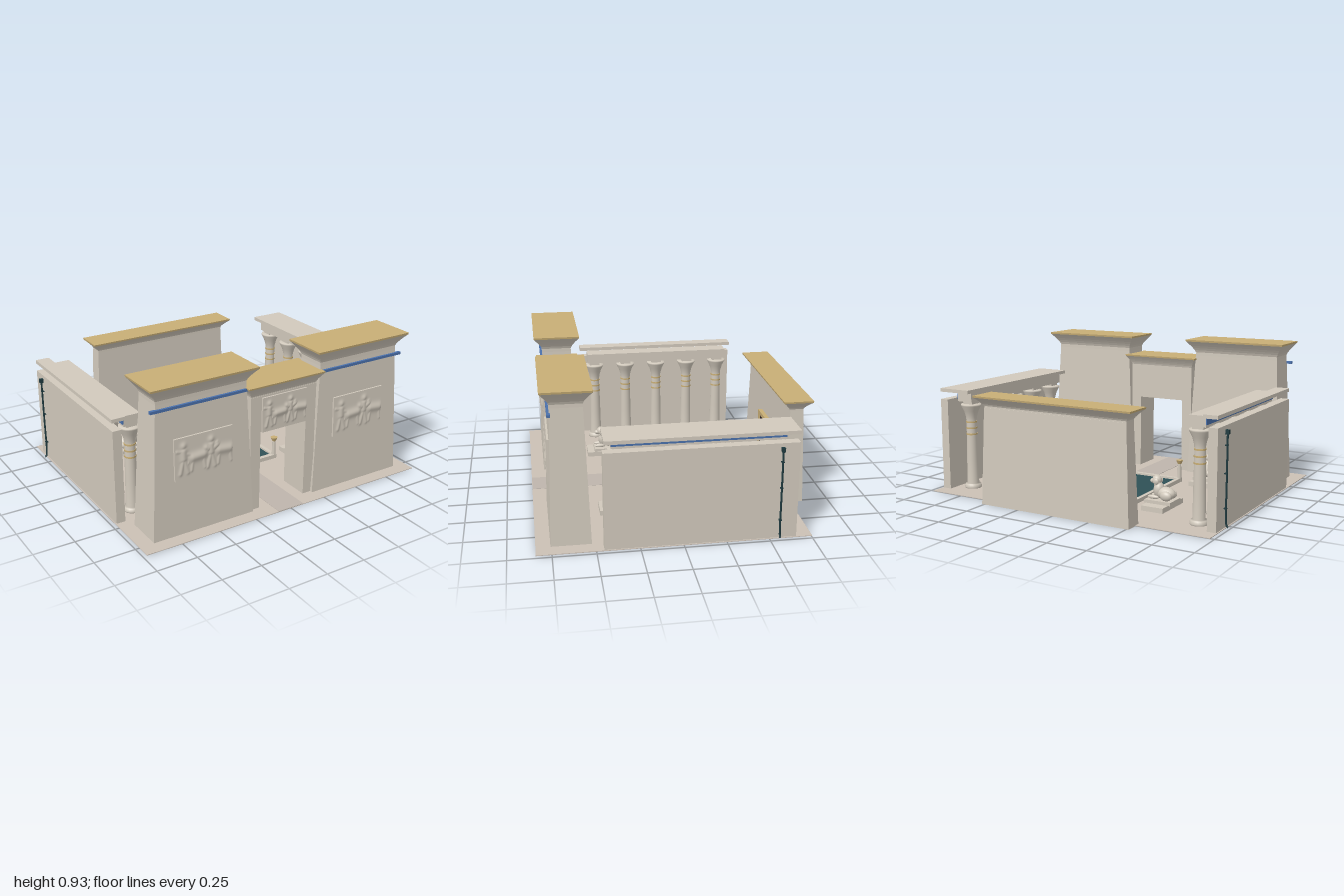
import * as THREE from 'three';

const mat = (name, color) => Object.assign(new THREE.MeshStandardMaterial({ color }), { name });
const stone = mat('stone', 0xd1c9bc);
const paving = mat('paving', 0xcbc0b5);
const gold = mat('gold', 0xc8ae76);
const blue = mat('blue', 0x4a70ab);
const water = mat('water', 0x2f5056);
const dark = mat('dark doorway', 0x2a2022);
const pipeMat = mat('drain pipe', 0x1f3a3f);
const pathLight = mat('light path', 0xd5cdc2);
const pathDark = mat('dark path', 0xbeb5ac);

function add(parent, name, geometry, material, x = 0, y = 0, z = 0) {
  const m = new THREE.Mesh(geometry, material);
  m.name = name;
  m.position.set(x, y, z);
  parent.add(m);
  return m;
}

// Box given by its limits on each axis
function block(parent, name, material, x0, x1, y0, y1, z0, z1) {
  return add(parent, name, new THREE.BoxGeometry(x1 - x0, y1 - y0, z1 - z0), material,
    (x0 + x1) / 2, (y0 + y1) / 2, (z0 + z1) / 2);
}

// Closed flat-sided solid through rectangles [y, halfWidth, halfDepth]
function loft(sections) {
  const pos = [];
  const ring = ([y, w, d]) => [[-w, y, d], [w, y, d], [w, y, -d], [-w, y, -d]];
  const quad = (a, b, c, d) => pos.push(...a, ...b, ...c, ...a, ...c, ...d);
  const rings = sections.map(ring);
  for (let i = 0; i < rings.length - 1; i++)
    for (let k = 0; k < 4; k++) {
      const n = (k + 1) % 4;
      quad(rings[i][k], rings[i][n], rings[i + 1][n], rings[i + 1][k]);
    }
  quad(...rings[0].slice().reverse());
  quad(...rings[rings.length - 1]);
  const g = new THREE.BufferGeometry();
  g.setAttribute('position', new THREE.Float32BufferAttribute(pos, 3));
  g.computeVertexNormals();
  return g;
}

// Hollow-curved cornice with a thin gilded cap
function cornice(parent, x, z, w, d, flare, y0, y1, cap) {
  const neck = y0 + (y1 - y0) * 0.22, s = [[y0, w, d], [neck, w, d]];
  for (let i = 1; i <= 5; i++) {
    const t = i / 5, f = flare * Math.pow(t, 1.3);
    s.push([neck + (y1 - neck) * t, w + f, d + f]);
  }
  add(parent, 'cornice', loft(s), stone, x, 0, z);
  add(parent, 'giltCap', loft([[y1, w + flare, d + flare], [y1 + cap, w + flare + 0.002, d + flare + 0.002]]), gold, x, 0, z);
}

// Raised figure panel: a grid pushed out by rounded strokes
function reliefPanel(parent, w, h, x, y, z, tilt) {
  const g = new THREE.Group();
  g.name = 'reliefPanel';
  g.position.set(x, y, z);
  g.rotation.x = tilt;
  parent.add(g);
  add(g, 'panelSlab', new THREE.BoxGeometry(w, h, 0.016), stone);
  // strokes of one figure: x1, y1, x2, y2, radius
  const figure = [[0, .3, 0, .31, .07], [0, .18, 0, 0, .075], [0, 0, -.09, -.34, .045], [0, 0, .1, -.34, .045],
    [0, .15, .16, .06, .035], [0, .15, -.16, .2, .035]];
  const beast = [[-.13, -.02, .13, 0, .1], [.2, .13, .25, .1, .07], [-.14, -.1, -.18, -.32, .035],
    [.13, -.1, .17, -.32, .035], [-.2, .02, -.26, -.14, .025]];
  const strokes = [];
  [[-.52, 1, figure], [-.15, 1, beast], [.18, -1, figure], [.52, -1, beast]].forEach(([cx, s, list]) =>
    list.forEach(([a, b, c, e, r]) => strokes.push([cx + s * a, b, cx + s * c, e, r])));
  const geo = new THREE.PlaneGeometry(w * 0.97, h * 0.95, 84, 48), p = geo.attributes.position;
  for (let i = 0; i < p.count; i++) {
    const u = p.getX(i) / h, v = p.getY(i) / h;
    let out = 0;
    for (const [ax, ay, bx, by, r] of strokes) {
      const dx = bx - ax, dy = by - ay, l = dx * dx + dy * dy || 1;
      const t = Math.min(1, Math.max(0, ((u - ax) * dx + (v - ay) * dy) / l));
      const q = Math.hypot(u - ax - dx * t, v - ay - dy * t) / r;
      out = Math.max(out, r * Math.exp(-q * q));
    }
    p.setZ(i, 0.0085 + out * 0.11);
  }
  geo.computeVertexNormals();
  add(g, 'carvedFigures', geo, stone);
}

function column(parent, x, z) {
  const g = new THREE.Group();
  g.name = 'column';
  g.position.set(x, 0, z);
  parent.add(g);
  const profile = [[0, 0], [.052, 0], [.055, .012], [.05, .03], [.038, .034], [.036, .2], [.032, .44], [.035, .47],
    [.046, .51], [.064, .545], [.064, .555], [.04, .558], [0, .558]].map(([r, y]) => new THREE.Vector2(r, y));
  add(g, 'shaftAndCapital', new THREE.LatheGeometry(profile, 24), stone);
  add(g, 'abacus', new THREE.BoxGeometry(.07, .022, .07), stone, 0, .565, 0);
  for (const y of [.36, .4, .44])
    add(g, 'giltBand', new THREE.CylinderGeometry(.0355, .0355, .01, 24), gold, 0, y, 0);
}

// Reclining guardian, facing local +z
function statue(parent, x, z, turn) {
  block(parent, 'pedestal', stone, x - .0725, x + .0725, .004, .035, z - .135, z + .135);
  const g = new THREE.Group();
  g.name = 'guardianStatue';
  g.position.set(x, .035, z);
  g.rotation.y = turn;
  parent.add(g);
  block(g, 'plinth', stone, -.068, .068, 0, .02, -.088, .088);
  const blob = (name, px, py, pz, sx, sy, sz) =>
    add(g, name, new THREE.SphereGeometry(1, 20, 14), stone, px, py, pz).scale.set(sx, sy, sz);
  blob('body', 0, .055, -.025, .042, .04, .062);
  blob('chest', 0, .072, .022, .035, .05, .034);
  blob('neck', 0, .105, .03, .026, .032, .024);
  blob('head', 0, .132, .036, .028, .03, .03);
  blob('muzzle', 0, .124, .062, .016, .015, .02);
  for (const s of [-1, 1]) {
    blob('haunch', s * .037, .047, -.042, .022, .03, .038);
    blob('foreleg', s * .026, .03, .048, .013, .013, .038);
    blob('horn', s * .028, .128, .03, .011, .02, .02);
  }
}

export function createModel() {
  const root = new THREE.Group();
  root.name = 'templeCourtyard';
  block(root, 'floor', paving, -.975, .975, 0, .004, -.755, .84);
  block(root, 'frontPath', pathDark, -.09, .09, .004, .006, .25, .839);
  block(root, 'backPath', pathLight, -.09, .09, .004, .006, -.72, -.47);

  // Entrance towers
  for (const s of [-1, 1]) {
    const tower = new THREE.Group();
    tower.name = 'entranceTower';
    root.add(tower);
    const cx = s * .5525, cz = .637;
    add(tower, 'towerBody', loft([[.002, .333, .118], [.82, .291, .093]]), stone, cx, 0, cz);
    cornice(tower, cx, cz, .291, .093, .052, .82, .917, .012);
    block(tower, 'blueBand', blue, Math.min(s * .25, s * .88), Math.max(s * .25, s * .88), .78, .796, .725, .745);
    reliefPanel(tower, .38, .255, s * .553, .473, .744, -.03);
  }

  // Gate between the towers
  const gate = new THREE.Group();
  gate.name = 'gate';
  root.add(gate);
  for (const s of [-1, 1])
    block(gate, 'jamb', stone, s < 0 ? -.232 : .163, s < 0 ? -.163 : .232, .002, .5, .54, .736);
  block(gate, 'lintel', stone, -.232, .232, .5, .725, .54, .736);
  cornice(gate, 0, .637, .232, .097, .035, .715, .79, .01);
  reliefPanel(gate, .315, .215, 0, .607, .738, 0);

  // Rear wall with false door
  const rear = new THREE.Group();
  rear.name = 'rearWall';
  root.add(rear);
  add(rear, 'rearWallBody', loft([[0, .515, .057], [.6, .492, .042]]), stone, 0, 0, -.778);
  cornice(rear, 0, -.775, .492, .042, .048, .595, .663, .011);
  block(rear, 'doorway', dark, -.108, .108, .004, .366, -.73, -.712);
  for (const s of [-1, 1])
    block(rear, 'doorPost', gold, s < 0 ? -.133 : .108, s < 0 ? -.108 : .133, .004, .366, -.735, -.704);
  block(rear, 'doorHead', gold, -.133, .133, .366, .392, -.745, -.704);

  // Side walls, colonnades and drains
  for (const s of [-1, 1]) {
    const side = new THREE.Group();
    side.name = s < 0 ? 'rightColonnade' : 'leftColonnade';
    root.add(side);
    const span = (name, m, a, b, ...rest) => block(side, name, m, Math.min(s * a, s * b), Math.max(s * a, s * b), ...rest);
    span('sideWall', stone, .912, .968, .002, .59, -.66, .455);
    span('architrave', stone, .765, .872, .575, .64, -.605, .4);
    span('blueFrieze', blue, .872, .878, .59, .625, -.605, .4);
    span('roofSlab', stone, s < 0 ? .88 : .745, .968, .638, .66, -.662, .447);
    for (let i = 0; i < 5; i++) column(side, s * .813, -.55 + i * .225);
    const path = new THREE.CatmullRomCurve3([[.981, .56], [.981, .3], [.981, .05], [.985, .022], [.995, .012]]
      .map(([x, y]) => new THREE.Vector3(s * x, y, -.557)));
    add(side, 'drainPipe', new THREE.TubeGeometry(path, 40, .006, 8), pipeMat);
    add(side, 'drainHead', new THREE.BoxGeometry(.022, .025, .02), pipeMat, s * .981, .555, -.557);
    for (const y of [.12, .32, .48])
      add(side, 'pipeBracket', new THREE.BoxGeometry(.018, .006, .016), pipeMat, s * .976, y, -.557);
  }

  // Pool with raised kerb and corner posts
  const pool = new THREE.Group();
  pool.name = 'pool';
  root.add(pool);
  block(pool, 'water', water, -.287, .287, .004, .018, -.442, .225);
  for (const s of [-1, 1])
    block(pool, 'sideKerb', stone, s < 0 ? -.31 : .285, s < 0 ? -.285 : .31, .004, .03, -.47, .252);
  block(pool, 'rearKerb', stone, -.285, .285, .004, .03, -.47, -.44);
  block(pool, 'frontKerb', stone, -.285, .285, .004, .03, .223, .252);
  for (const x of [-.298, .298]) for (const z of [-.455, .238]) {
    add(pool, 'cornerPost', new THREE.CylinderGeometry(.011, .014, .13, 12), stone, x, .067, z);
    add(pool, 'postCap', new THREE.CylinderGeometry(.023, .012, .025, 16), gold, x, .14, z);
  }

  // Guardian statues around the pool
  statue(root, -.472, -.345, Math.PI / 2);
  statue(root, .465, -.345, -Math.PI / 2);
  statue(root, .465, .305, -Math.PI / 2);
  statue(root, -.472, .305, 0);
  return root;
}
